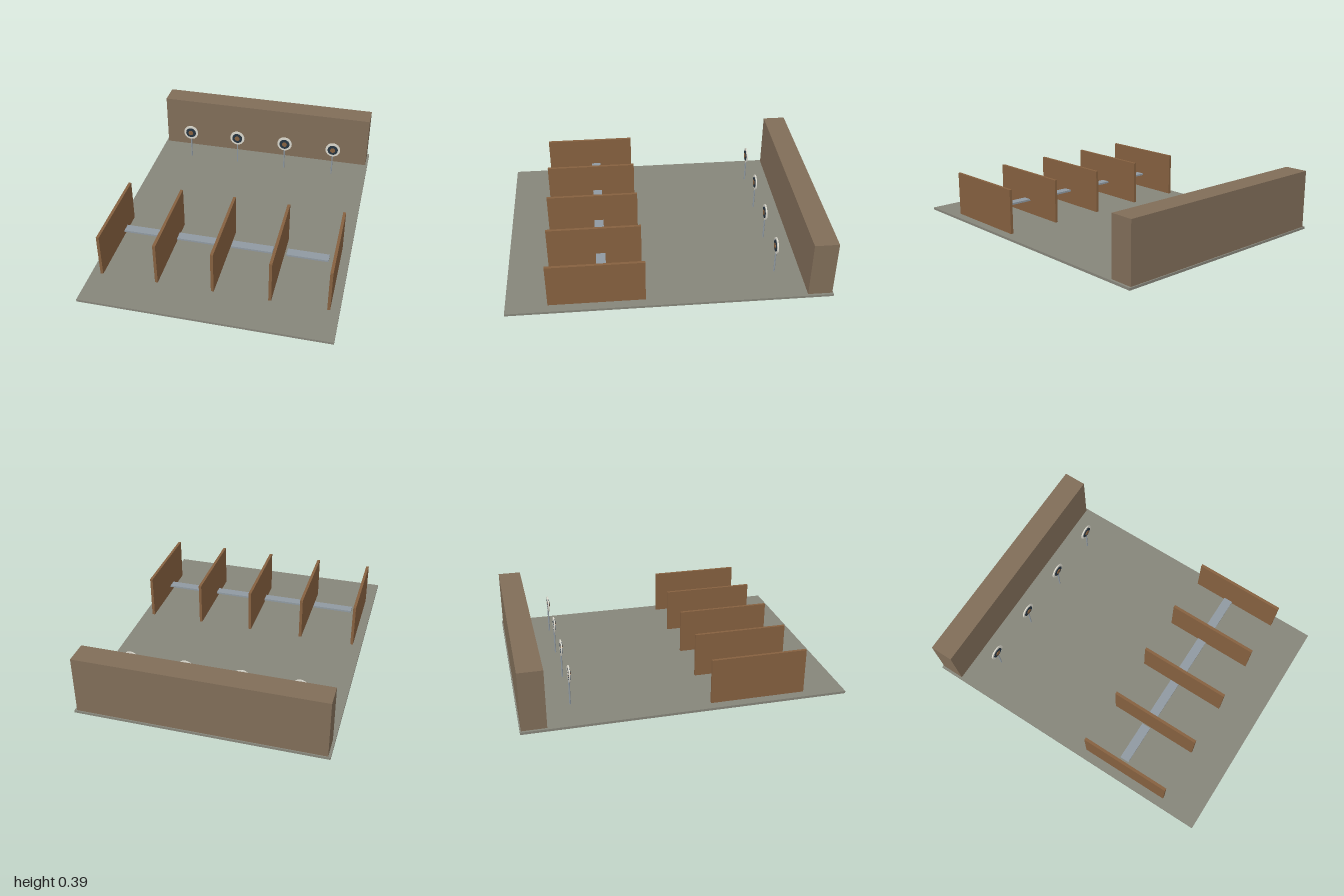
import * as THREE from 'three';

const mat = (name, color) => {
  const m = new THREE.MeshStandardMaterial({ color });
  m.name = name;
  return m;
};

export function createModel() {
  const concrete = mat('concrete', 0x86857a);
  const earth = mat('earth', 0x806d58);
  const wood = mat('wood', 0x85603f);
  const steel = mat('steel', 0x8f99a1);
  const white = mat('white', 0xd8d6cb);
  const navy = mat('navy', 0x26333f);

  const root = new THREE.Group();
  root.name = 'targetRange';

  const add = (parent, name, geometry, material, x, y, z) => {
    const mesh = new THREE.Mesh(geometry, material);
    mesh.name = name;
    mesh.position.set(x, y, z);
    parent.add(mesh);
    return mesh;
  };
  // Box given by its centre in x and its extents in y and z
  const box = (name, material, x, width, y0, y1, z0, z1) =>
    add(root, name, new THREE.BoxGeometry(width, y1 - y0, z1 - z0), material,
      x, (y0 + y1) / 2, (z0 + z1) / 2);

  // Ground slab and backstop
  const ground = 0.015;
  box('floor', concrete, 0, 1.56, 0, ground, -1, 1);
  box('backstop', earth, 0, 1.53, ground, 0.388, -0.993, -0.843);

  // Partitions between the lanes
  const lane = 0.3565;
  for (let i = -2; i <= 2; i++) {
    box('partition', wood, i * lane, 0.018, ground, 0.302, 0.15, 0.744);
  }

  // Round target facing +z: rim, dark ring and bullseye stepping forward
  const back = -0.682;
  const rings = [
    ['targetRim', 0.053, 0.008, white],
    ['targetRing', 0.037, 0.012, navy],
    ['bullseye', 0.018, 0.016, wood],
  ];
  for (let i = -1.5; i <= 1.5; i++) {
    const x = i * lane * 0.992;
    box('shelf', steel, x, 0.264, 0.121, 0.133, 0.38, 0.44);

    const target = new THREE.Group();
    target.name = 'target';
    target.position.x = x;
    root.add(target);
    add(target, 'post', new THREE.CylinderGeometry(0.005, 0.005, 0.205, 10), steel,
      0, ground + 0.1025, -0.679);
    for (const [name, radius, depth, material] of rings) {
      const disc = new THREE.CylinderGeometry(radius, radius, depth, 24).rotateX(Math.PI / 2);
      add(target, name, disc, material, 0, 0.221, back + depth / 2);
    }
  }
  return root;
}
